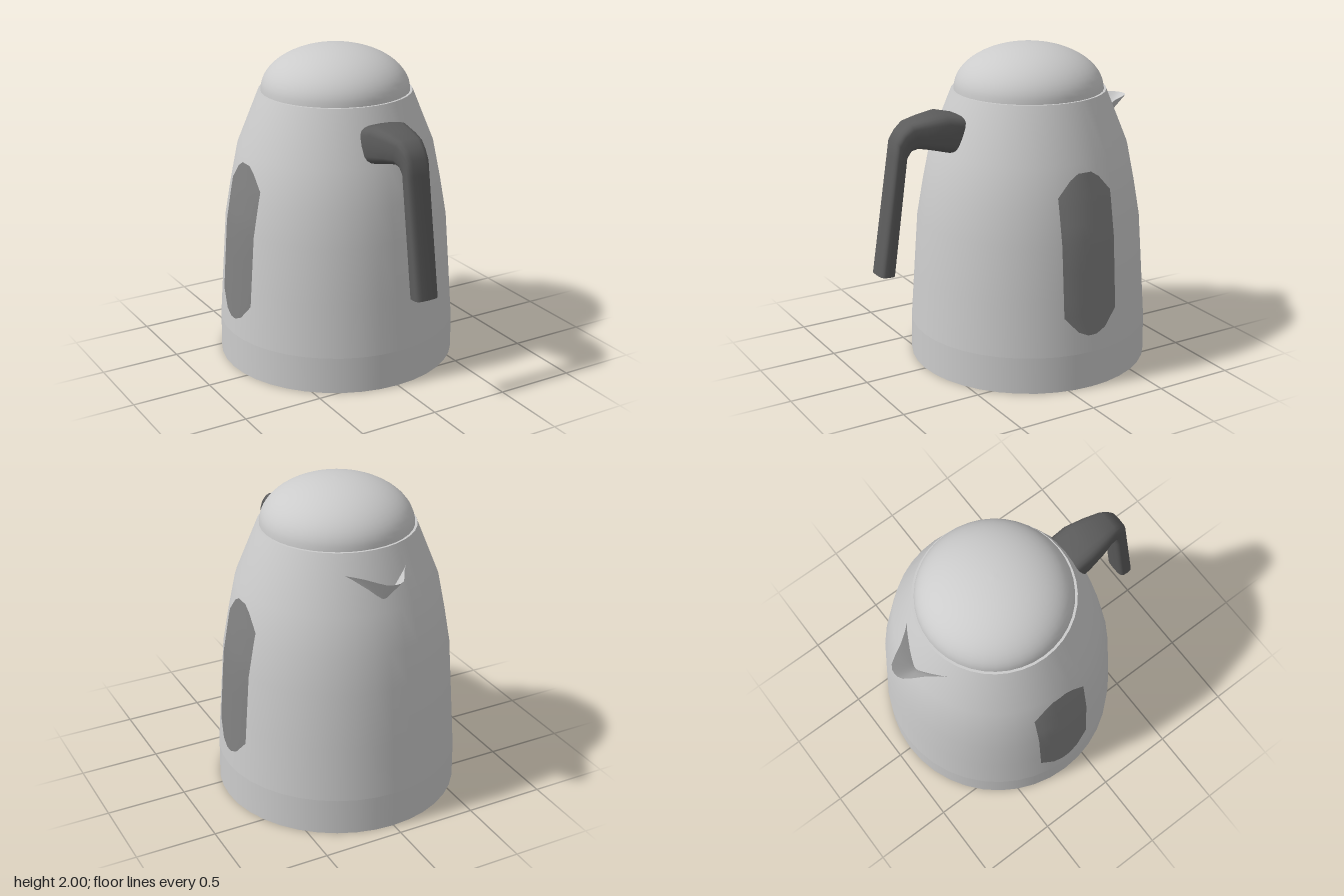
import * as THREE from 'three';

const AXIS_Z = -0.16; // the body's centre line
// shell profile as [radius, height]
const PROFILE = [[0.752, 0.23], [0.728, 0.57], [0.703, 0.92], [0.665, 1.14], [0.617, 1.38], [0.48, 1.72]];

const grey = new THREE.MeshStandardMaterial({ color: 0xcccccc });
const thinGrey = new THREE.MeshStandardMaterial({ color: 0xcccccc, side: THREE.DoubleSide });
const handleGrey = new THREE.MeshStandardMaterial({ color: 0x5c5c5c });
const windowGrey = new THREE.MeshStandardMaterial({ color: 0x808080, side: THREE.DoubleSide });

function radiusAt(y) {
  for (let i = 1; i < PROFILE.length; i++) {
    const [r0, y0] = PROFILE[i - 1], [r1, y1] = PROFILE[i];
    if (y <= y1) return r0 + (r1 - r0) * (y - y0) / (y1 - y0);
  }
  return PROFILE[PROFILE.length - 1][0];
}

// skin over rows of points; closed rows wrap around
function skin(rows, closed) {
  const n = rows[0].length, index = [];
  const geometry = new THREE.BufferGeometry().setFromPoints(rows.flat());
  for (let i = 0; i < rows.length - 1; i++) {
    for (let j = 0; j < (closed ? n : n - 1); j++) {
      const k = (j + 1) % n;
      const a = i * n + j, b = i * n + k, c = a + n, d = b + n;
      index.push(a, b, c, b, d, c);
    }
  }
  geometry.setIndex(index);
  geometry.computeVertexNormals();
  return geometry;
}

function add(parent, name, geometry, material) {
  const mesh = new THREE.Mesh(geometry, material);
  mesh.name = name;
  parent.add(mesh);
  return mesh;
}

function lathe(parent, name, points) {
  const mesh = add(parent, name,
    new THREE.LatheGeometry(points.map(([r, y]) => new THREE.Vector2(r, y)), 40), grey);
  mesh.position.z = AXIS_Z;
  return mesh;
}

// tall window with clipped corners that follows the shell
function windowGeometry(side) {
  const outline = [[0.34, 0.03], [0.37, 0.095], [0.47, 0.185], [0.57, 0.185], [0.74, 0.185], [0.92, 0.185],
    [1.03, 0.185], [1.14, 0.185], [1.2, 0.185], [1.295, 0.1], [1.33, 0.045]];
  const rows = outline.map(([y, half]) => {
    const row = [];
    for (let j = 0; j <= 10; j++) {
      const dz = -side * half * (1 - j / 5);
      const r = radiusAt(y) + 0.004;
      row.push(new THREE.Vector3(side * Math.sqrt(r * r - dz * dz), y, AXIS_Z - dz));
    }
    return row;
  });
  return skin(rows, false);
}

function buildHandle() {
  const handle = new THREE.Group();
  handle.name = 'handle';
  // sections: outer z, y, inner z, y, half width
  const sections = [
    [0.33, 1.615, 0.38, 1.385, 0.14], [0.47, 1.65, 0.44, 1.40, 0.14], [0.59, 1.632, 0.57, 1.435, 0.118],
    [0.69, 1.612, 0.64, 1.45, 0.095], [0.745, 1.565, 0.685, 1.44, 0.085], [0.783, 1.51, 0.712, 1.40, 0.08],
    [0.797, 1.42, 0.725, 1.31, 0.08], [0.913, 0.69, 0.812, 0.685, 0.079],
  ];
  const soften = v => Math.sign(v) * Math.pow(Math.abs(v), 0.55);
  const rows = sections.map(([oz, oy, iz, iy, w]) => {
    const row = [];
    for (let j = 0; j < 20; j++) {
      const a = j / 20 * Math.PI * 2, t = (soften(Math.sin(a)) + 1) / 2;
      row.push(new THREE.Vector3(w * soften(Math.cos(a)), iy + (oy - iy) * t, iz + (oz - iz) * t));
    }
    return row;
  });
  add(handle, 'grip', skin(rows, true), handleGrey);
  // flat end under the grip
  const end = rows[rows.length - 1];
  const middle = end.reduce((sum, p) => sum.add(p), new THREE.Vector3()).divideScalar(end.length);
  add(handle, 'gripEnd', skin([end, end.map(() => middle)], true), handleGrey);
  return handle;
}

// open lip: a rounded V at the rim tapering down onto the shell
function spoutGeometry() {
  const half = [[0.205, -0.645], [0.165, -0.69], [0.125, -0.745], [0.085, -0.815], [0.055, -0.86], [0.025, -0.877]];
  const rim = [...half.map(([x, z]) => [-x, z]), [0, -0.88], ...half.slice().reverse()];
  const rows = [];
  for (let i = 0; i <= 4; i++) {
    const t = i / 4;
    rows.push(rim.map(([x, z]) => new THREE.Vector3(
      x * (1 - 0.87 * t), 1.6 - 0.155 * t, z + (-0.735 - z) * t)));
  }
  return skin(rows, false);
}

export function createModel() {
  const kettle = new THREE.Group();
  kettle.name = 'kettle';

  // body
  lathe(kettle, 'underside', [[0, 0], [0.755, 0]]);
  lathe(kettle, 'base', [[0.755, 0], [0.752, 0.23]]);
  lathe(kettle, 'shell', PROFILE);
  lathe(kettle, 'rim', [[0.48, 1.72], [0.4, 1.72]]);

  // domed lid
  const dome = [];
  for (let i = 0; i <= 16; i++) {
    const a = i / 16 * Math.PI / 2;
    dome.push([0.465 * Math.cos(a), 1.72 + 0.28 * Math.sin(a)]);
  }
  dome[16][0] = 0;
  lathe(kettle, 'lid', dome);

  // water windows on both sides
  add(kettle, 'leftWindow', windowGeometry(1), windowGrey);
  add(kettle, 'rightWindow', windowGeometry(-1), windowGrey);

  add(kettle, 'spout', spoutGeometry(), thinGrey);
  kettle.add(buildHandle());
  return kettle;
}
